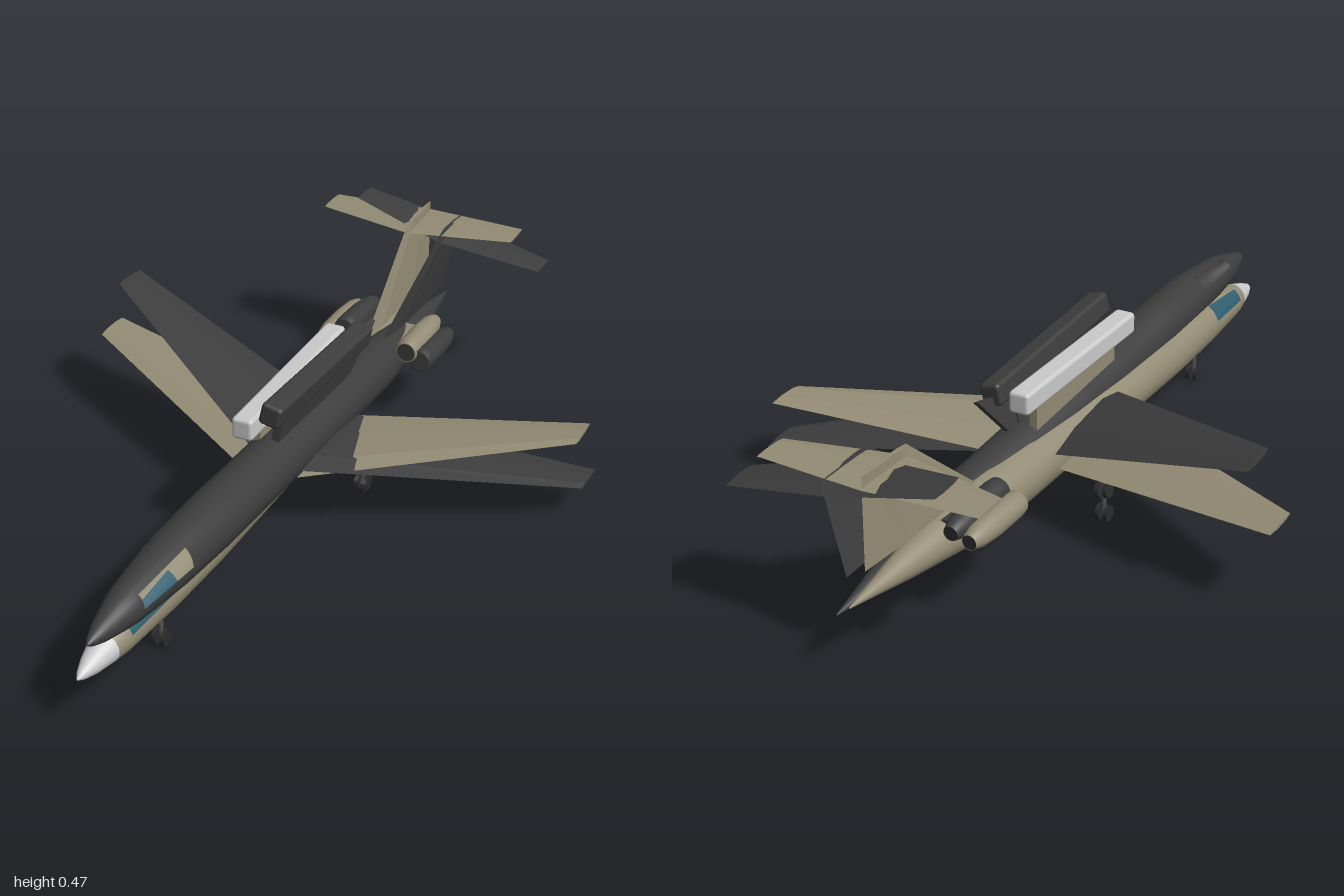
import * as THREE from 'three';
import { RoundedBoxGeometry } from 'three/addons/geometries/RoundedBoxGeometry.js';

const material = (name, color, side = THREE.DoubleSide) => {
  const m = new THREE.MeshStandardMaterial({ color, side });
  m.name = name;
  return m;
};

const add = (parent, name, geometry, mat, x = 0, y = 0, z = 0) => {
  const mesh = new THREE.Mesh(geometry, mat);
  mesh.name = name;
  mesh.position.set(x, y, z);
  parent.add(mesh);
  return mesh;
};

// Fuselage rings: z, centre y, radius
const RINGS = [
  [1, -0.02, 0.003], [0.985, -0.019, 0.012], [0.95, -0.017, 0.024], [0.89, -0.012, 0.038],
  [0.845, -0.008, 0.047], [0.66, 0, 0.064], [0.45, 0, 0.07], [0, 0, 0.07], [-0.45, 0, 0.07],
  [-0.6, 0.003, 0.06], [-0.8, 0.006, 0.034], [-1, 0.01, 0.002],
];

// Lofted body; groups: 0 hull, 1 nose tip, 2 cockpit windows (left open when glazed is false)
function fuselageGeometry(glazed) {
  const n = 24, pos = [], parts = [[], [], []];
  for (const [z, y, r] of RINGS)
    for (let i = 0; i < n; i++) {
      const a = (i / n) * Math.PI * 2;
      pos.push(r * Math.cos(a), y + r * Math.sin(a), z);
    }
  for (let k = 0; k < RINGS.length - 1; k++)
    for (let i = 0; i < n; i++) {
      const j = (i + 1) % n;
      const a = k * n + i, b = k * n + j, c = a + n, d = b + n;
      const window = k === 4 && ((i >= 1 && i <= 3) || (i >= 8 && i <= 10));
      parts[window ? 2 : k < 3 ? 1 : 0].push(a, c, b, b, c, d);
    }
  const g = new THREE.BufferGeometry();
  g.setAttribute('position', new THREE.Float32BufferAttribute(pos, 3));
  g.setIndex(parts.flat());
  g.computeVertexNormals();
  if (!glazed) parts[2] = [];
  g.setIndex(parts.flat());
  let start = 0;
  parts.forEach((p, i) => { g.addGroup(start, p.length, i); start += p.length; });
  return g;
}

// Tapered aerofoil between two sections {x, y, front, back, t}; upright ones are thick along x
function panelGeometry(s0, s1, upright = false) {
  const pts = [s0, s1].map(s => {
    const at = (f, h) => new THREE.Vector3(
      s.x + (upright ? h : 0), s.y + (upright ? 0 : h), s.front + (s.back - s.front) * f);
    return [at(0, 0), at(0.2, s.t / 2), at(0.65, s.t / 2), at(1, 0), at(0.65, -s.t / 2), at(0.2, -s.t / 2)];
  });
  const flip = upright ? s1.y > s0.y : s1.x < s0.x;
  const out = [];
  const tri = (a, b, c) => out.push(a, ...(flip ? [c, b] : [b, c]));
  const [p, q] = pts;
  for (let i = 0; i < 6; i++) {
    const j = (i + 1) % 6;
    tri(p[i], q[i], p[j]);
    tri(p[j], q[i], q[j]);
  }
  for (let i = 1; i < 5; i++) {
    tri(p[0], p[i], p[i + 1]);
    tri(q[0], q[i + 1], q[i]);
  }
  const g = new THREE.BufferGeometry().setFromPoints(out);
  g.computeVertexNormals();
  return g;
}

// Flat plate cut from a side outline of [z, y] points
function sidePlate(points, width) {
  const shape = new THREE.Shape(points.map(([z, y]) => new THREE.Vector2(-z, y)));
  const g = new THREE.ExtrudeGeometry(shape, { depth: width, bevelEnabled: false });
  return g.translate(0, 0, -width / 2).rotateY(Math.PI / 2);
}

function landingGear(parent, name, mats, x, z, top) {
  const gear = new THREE.Group();
  gear.name = name;
  gear.position.set(x, 0, z);
  const length = top + 0.145;
  add(gear, 'strut', new THREE.CylinderGeometry(0.006, 0.006, length, 10), mats.metal, 0, top - length / 2, 0);
  for (const s of [-1, 1])
    add(gear, 'wheel', new THREE.CylinderGeometry(0.02, 0.02, 0.01, 16).rotateZ(Math.PI / 2),
      mats.rubber, s * 0.011, -0.145, 0);
  parent.add(gear);
}

function createPlane(name, paint, nose, glass, box, mats) {
  const plane = new THREE.Group();
  plane.name = name;
  add(plane, 'fuselage', fuselageGeometry(!!glass), [paint, nose, glass || paint]);

  for (const s of [-1, 1]) {
    const side = s > 0 ? 'left' : 'right';
    add(plane, side + 'Wing', panelGeometry(
      { x: s * 0.03, y: -0.014, front: 0.13, back: -0.225, t: 0.026 },
      { x: s * 0.665, y: 0.044, front: -0.255, back: -0.365, t: 0.01 }), paint);
    add(plane, side + 'Tailplane', panelGeometry(
      { x: 0, y: 0.26, front: -0.768, back: -0.943, t: 0.009 },
      { x: s * 0.273, y: 0.26, front: -0.832, back: -0.925, t: 0.006 }), paint);

    // Rear engine with intake, exhaust and stub pylon
    const engine = new THREE.Group();
    engine.name = side + 'Engine';
    engine.position.set(s * 0.112, 0.047, 0);
    const profile = [[0.025, 0.505], [0.029, 0.505], [0.032, 0.53], [0.032, 0.62], [0.027, 0.68], [0.018, 0.71]]
      .map(([r, d]) => new THREE.Vector2(r, -d)).reverse();
    add(engine, 'nacelle', new THREE.LatheGeometry(profile, 20).rotateX(Math.PI / 2), paint);
    add(engine, 'intake', new THREE.CircleGeometry(0.028, 20), mats.dark, 0, 0, -0.508);
    add(engine, 'exhaust', new THREE.CircleGeometry(0.018, 20).rotateY(Math.PI), mats.rubber, 0, 0, -0.709);
    add(engine, 'enginePylon', new THREE.BoxGeometry(0.06, 0.014, 0.12), paint, -s * 0.05, -0.005, -0.6);
    plane.add(engine);

    landingGear(plane, side + 'MainGear', mats, s * 0.147, -0.155, -0.005);
  }
  landingGear(plane, 'noseGear', mats, 0, 0.645, -0.055);

  // Swept fin
  add(plane, 'fin', panelGeometry(
    { x: 0, y: 0.065, front: -0.5, back: -0.94, t: 0.02 },
    { x: 0, y: 0.288, front: -0.77, back: -0.935, t: 0.01 }, true), paint);

  // Long dorsal box on its pylon
  add(plane, 'dorsalPylon', new THREE.BoxGeometry(0.02, 0.1, 0.39), paint, 0, 0.105, -0.04);
  add(plane, 'dorsalBox', new RoundedBoxGeometry(0.054, 0.056, 0.54, 2, 0.01), box, 0, 0.175, -0.035);
  return plane;
}

export function createModel() {
  const mats = {
    tan: material('tan paint', 0x938b74),
    dark: material('dark grey paint', 0x3d3d3d),
    light: material('light grey', 0xcbcbcb),
    glass: material('blue glass', 0x2f5d6e),
    metal: material('strut metal', 0x55534c),
    rubber: material('tyre rubber', 0x2b2b2b),
  };
  const model = new THREE.Group();
  model.name = 'pairedAircraft';

  const level = createPlane('levelAircraft', mats.tan, mats.light, mats.glass, mats.light, mats);
  level.position.set(-0.016, 0.165, 0);

  // Second aircraft, rolled and pitched nose up
  const banked = createPlane('bankedAircraft', mats.dark, mats.dark, null, mats.dark, mats);
  banked.position.set(0.014, 0.199, -0.004);
  banked.rotation.set(THREE.MathUtils.degToRad(-3.4), 0, THREE.MathUtils.degToRad(-12));
  add(banked, 'sweptBlade', sidePlate([[-0.2, 0.06], [-0.23, 0.15], [-0.365, 0.187], [-0.27, 0.06]], 0.014), mats.dark);

  model.add(level, banked);
  return model;
}
